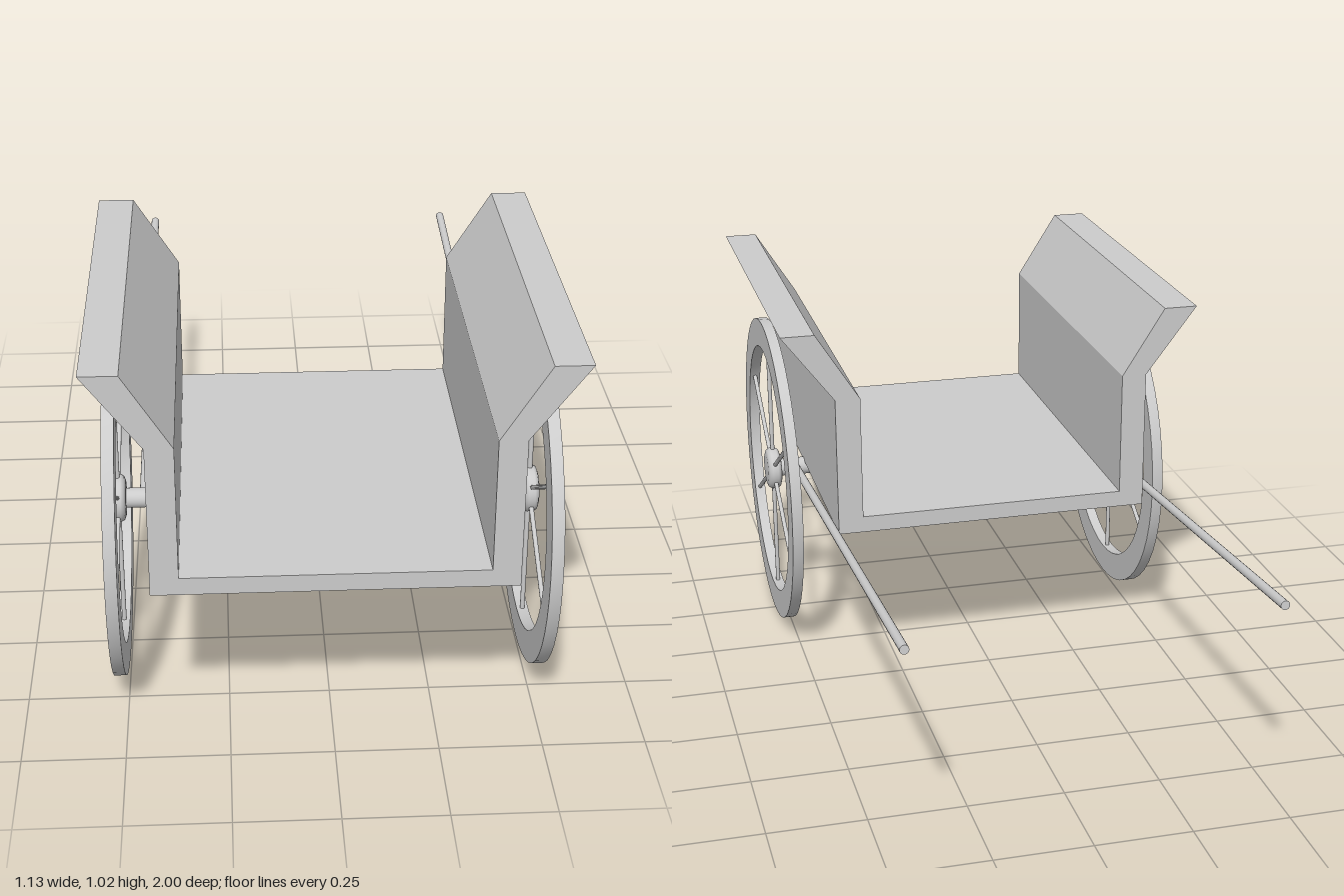
import * as THREE from 'three';
import { toCreasedNormals } from 'three/addons/utils/BufferGeometryUtils.js';

const material = new THREE.MeshStandardMaterial({ color: 0xcccccc });
const AXLE_Y = 0.44, AXLE_Z = 0.52, WHEEL_X = 0.518;

function part(name, geometry, parent) {
  const mesh = new THREE.Mesh(geometry, material);
  mesh.name = name;
  parent.add(mesh);
  return mesh;
}

// Straight round bar between two points
function bar(name, from, to, radius, parent, sides = 16) {
  const dir = to.clone().sub(from);
  const mesh = part(name, new THREE.CylinderGeometry(radius, radius, dir.length(), sides), parent);
  mesh.position.copy(from).add(to).multiplyScalar(0.5);
  mesh.quaternion.setFromUnitVectors(new THREE.Vector3(0, 1, 0), dir.normalize());
  return mesh;
}

// Lathe whose axis lies along x
function latheX(points, segments) {
  const profile = points.map(([r, h]) => new THREE.Vector2(r, h));
  return new THREE.LatheGeometry(profile, segments).rotateZ(-Math.PI / 2);
}

function makeWheel(name) {
  const wheel = new THREE.Group();
  wheel.name = name;
  // Flat-sided rim
  const w = 0.015, outer = 0.44, inner = 0.36;
  const rim = latheX([[inner, -w], [outer, -w], [outer, w], [inner, w], [inner, -w]], 48);
  part('rim', toCreasedNormals(rim, 0.6), wheel);
  // Rounded hub
  part('hub', latheX([
    [0, -0.021], [0.044, -0.02], [0.055, -0.016], [0.06, -0.008],
    [0.06, 0.008], [0.055, 0.016], [0.044, 0.02], [0, 0.021],
  ], 32), wheel);
  // Six spokes, two of them vertical
  for (let i = 0; i < 6; i++) {
    const a = i * Math.PI / 3;
    const dir = new THREE.Vector3(0, Math.cos(a), Math.sin(a));
    bar('spoke', dir.clone().multiplyScalar(0.03), dir.clone().multiplyScalar(0.37), 0.006, wheel, 10);
  }
  return wheel;
}

export function createModel() {
  const cart = new THREE.Group();
  cart.name = 'handcart';

  // Open-ended body: floor, walls and flared upper boards in one section
  const half = [[0.427, 0.456], [0.427, 0.835], [0.565, 1.017], [0.475, 1.017], [0.36, 0.835], [0.36, 0.5]];
  const section = [...half, ...half.map(([x, y]) => [-x, y]).reverse()];
  const shape = new THREE.Shape(section.map(([x, y]) => new THREE.Vector2(x, y)));
  const body = new THREE.ExtrudeGeometry(shape, { depth: 1.05, bevelEnabled: false });
  part('body', body.translate(0, 0, -0.05), cart);

  // Axle
  bar('axle', new THREE.Vector3(-WHEEL_X, AXLE_Y, AXLE_Z),
    new THREE.Vector3(WHEEL_X, AXLE_Y, AXLE_Z), 0.025, cart, 32);

  for (const side of [1, -1]) {
    const label = side > 0 ? 'left' : 'right';
    const wheel = makeWheel(label + 'Wheel');
    wheel.position.set(side * WHEEL_X, AXLE_Y, AXLE_Z);
    cart.add(wheel);
    // Pulling shaft rising from the axle to the rear
    bar(label + 'Shaft', new THREE.Vector3(side * 0.453, AXLE_Y, AXLE_Z),
      new THREE.Vector3(side * 0.453, 0.578, -0.999), 0.0115, cart);
  }
  return cart;
}
